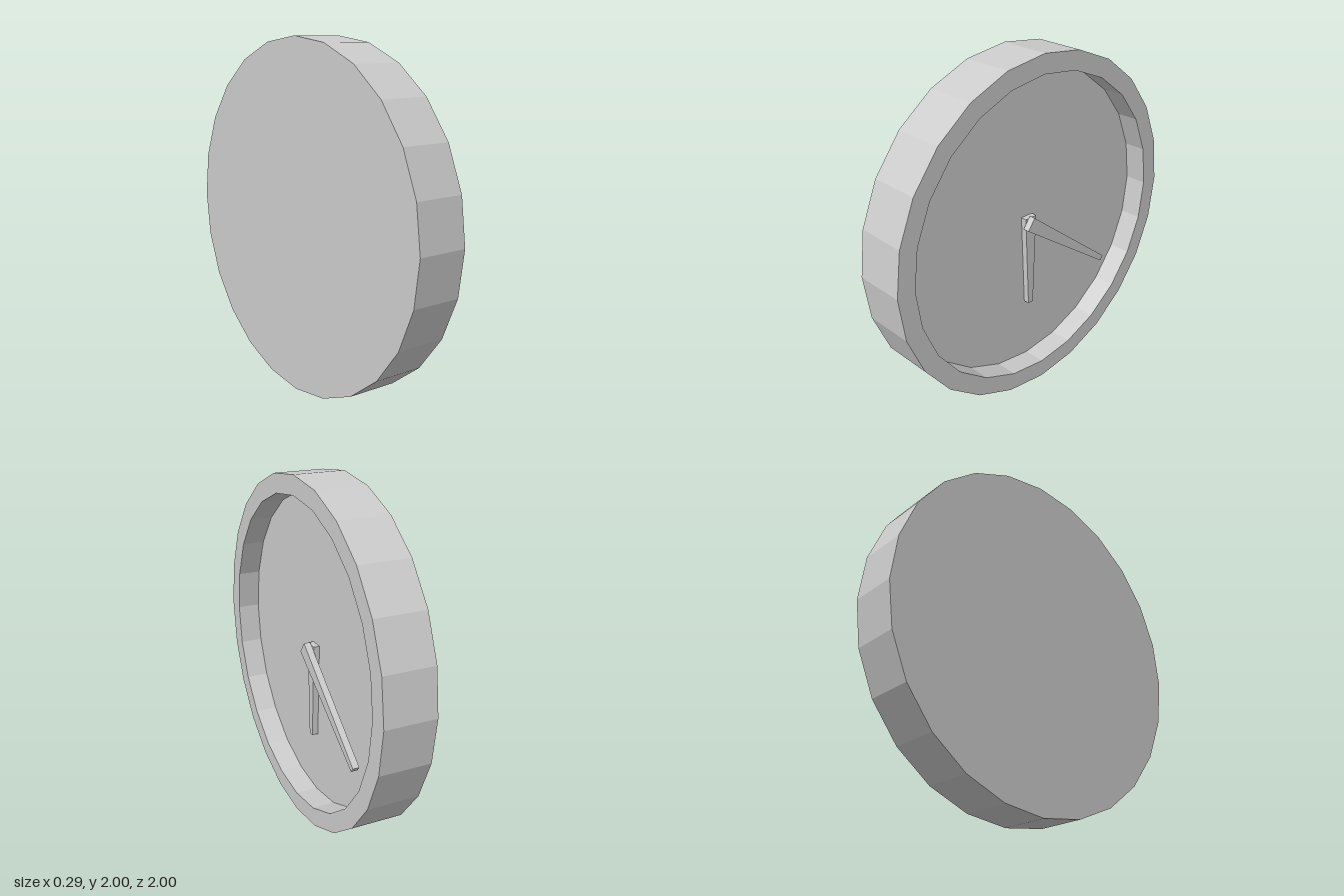
import * as THREE from 'three';

const SIDES = 24;
const HALF_DEPTH = 0.147;
const DIAL_X = 0.016;
const INNER_RADIUS = 0.892;

const material = new THREE.MeshStandardMaterial({ color: 0xcccccc, flatShading: true });

// Tapered hand hanging down from its pivot, swung by angle, lying between x and x + thickness
function makeHand(name, tail, tip, tailWidth, tipWidth, angle, x, thickness) {
  const shape = new THREE.Shape([
    new THREE.Vector2(-tailWidth / 2, tail),
    new THREE.Vector2(-tipWidth / 2, -tip),
    new THREE.Vector2(tipWidth / 2, -tip),
    new THREE.Vector2(tailWidth / 2, tail),
  ]);
  const geometry = new THREE.ExtrudeGeometry(shape, { depth: thickness, bevelEnabled: false });
  const hand = new THREE.Mesh(geometry, material);
  hand.name = name;
  hand.rotation.set(0, Math.PI / 2, angle);
  hand.position.set(x, 1, 0);
  return hand;
}

export function createModel() {
  const clock = new THREE.Group();
  clock.name = 'wallClock';

  // Case: flat back, outer wall, raised rim and inner wall down to the dial
  const profile = [
    [0, -HALF_DEPTH],
    [1, -HALF_DEPTH],
    [1, HALF_DEPTH],
    [INNER_RADIUS, HALF_DEPTH],
    [INNER_RADIUS, DIAL_X],
  ].map(([r, h]) => new THREE.Vector2(r, h));
  const caseMesh = new THREE.Mesh(new THREE.LatheGeometry(profile, SIDES), material);
  caseMesh.name = 'case';
  caseMesh.rotation.z = -Math.PI / 2;
  caseMesh.position.y = 1;
  clock.add(caseMesh);

  // Recessed dial facing +x
  const dial = new THREE.Mesh(new THREE.CircleGeometry(INNER_RADIUS, SIDES), material);
  dial.name = 'dial';
  dial.rotation.y = Math.PI / 2;
  dial.position.set(DIAL_X, 1, 0);
  clock.add(dial);

  // Hands, the long one stacked over the short one
  clock.add(makeHand('hourHand', 0.045, 0.515, 0.08, 0.036, 0, DIAL_X, 0.035));
  clock.add(makeHand('minuteHand', 0.041, 0.734, 0.082, 0.034, 0.928, DIAL_X + 0.035, 0.038));

  return clock;
}
